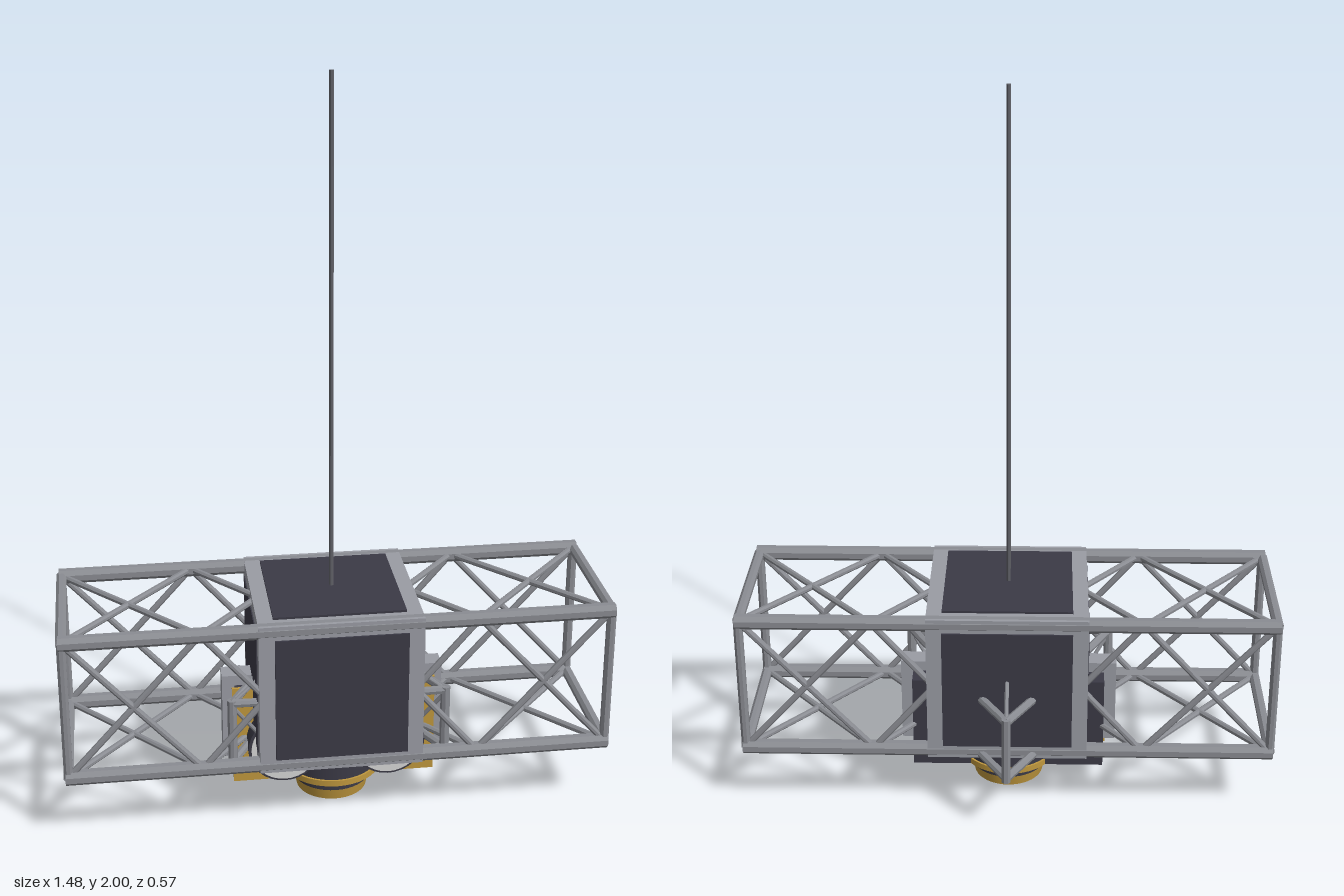
import * as THREE from 'three';

const mat = (name, color) => Object.assign(new THREE.MeshStandardMaterial({ color }), { name });

export function createModel() {
  const grey = mat('frameGrey', 0x9a9ca4);
  const steel = mat('tubeGrey', 0x8a8c92);
  const dark = mat('darkPanel', 0x3b3a46);
  const mast = mat('antennaGrey', 0x606167);
  const gold = mat('goldFoil', 0xbf973d);
  const white = mat('dishWhite', 0xd6d6d6);

  const model = new THREE.Group();
  model.name = 'satellite';
  const CZ = 0.06; // depth of the main axis

  const add = (parent, name, geo, material, x = 0, y = 0, z = 0) => {
    const m = new THREE.Mesh(geo, material);
    m.name = name;
    m.position.set(x, y, z);
    parent.add(m);
    return m;
  };
  const box = (parent, name, w, h, d, material, x, y, z) =>
    add(parent, name, new THREE.BoxGeometry(w, h, d), material, x, y, z);

  // Faceted tube between two points
  const bar = (parent, name, a, b, r, material = steel, sides = 8) => {
    const p = new THREE.Vector3(...a), q = new THREE.Vector3(...b);
    const dir = q.clone().sub(p);
    let geo = new THREE.CylinderGeometry(r, r, dir.length(), sides);
    geo.rotateY(Math.PI / sides);
    geo = geo.toNonIndexed();
    geo.computeVertexNormals();
    const m = add(parent, name, geo, material);
    m.position.copy(p).add(q).multiplyScalar(0.5);
    m.quaternion.setFromUnitVectors(new THREE.Vector3(0, 1, 0), dir.normalize());
    return m;
  };

  // Core: grey edge frame with raised dark panels on every face
  const core = new THREE.Group();
  core.name = 'core';
  model.add(core);
  const CY = 0.394;
  box(core, 'coreFrame', 0.44, 0.434, 0.44, grey, 0, CY, CZ);
  const P = 0.355;
  for (const s of [-1, 1]) {
    box(core, 'facePanel', P, P, 0.008, dark, 0, CY, CZ + s * 0.221);
    box(core, 'capPanel', P, 0.008, P, dark, 0, CY + s * 0.219, CZ);
    box(core, 'sidePanel', 0.008, P, P, dark, s * 0.219, CY, CZ);
  }

  // Truss: four long tubes, end frames and crossed braces on four sides
  const truss = new THREE.Group();
  truss.name = 'truss';
  model.add(truss);
  const Y = [0.195, 0.592], Z = [-0.142, 0.262];
  for (const y of Y) for (const z of Z)
    bar(truss, 'longeron', [-0.735, y, z], [0.735, y, z], 0.021);
  for (const s of [-1, 1]) {
    const X = s * 0.727, XN = s * 0.37, XC = s * 0.2;
    for (const z of Z) bar(truss, 'endPost', [X, Y[0], z], [X, Y[1], z], 0.013);
    for (const y of Y) bar(truss, 'endRail', [X, y, Z[0]], [X, y, Z[1]], 0.015);
    for (const k of [0, 1]) {
      for (const z of Z) {
        bar(truss, 'brace', [X, Y[k], z], [XN, Y[1 - k], z], 0.009);
        bar(truss, 'innerBrace', [XN, Y[k], z], [XC, CY, z], 0.009);
      }
      for (const y of Y) {
        bar(truss, 'deckBrace', [X, y, Z[k]], [XN, y, Z[1 - k]], 0.009);
        bar(truss, 'innerDeckBrace', [XN, y, Z[k]], [XC, y, CZ], 0.009);
      }
    }
  }

  // Three bracket arms spaced evenly around the axis
  for (let i = 0; i < 3; i++) {
    const arm = new THREE.Group();
    arm.name = 'bracketArm';
    arm.position.z = CZ;
    arm.rotation.y = (i * Math.PI * 2) / 3;
    model.add(arm);
    const tip = -0.333, foot = -0.215;
    for (const y of [0.187, 0.365])
      for (const s of [-1, 1]) bar(arm, 'strut', [s * 0.072, y, foot], [0, y, tip], 0.012);
    bar(arm, 'post', [0, 0.177, tip], [0, 0.375, tip], 0.013);
    bar(arm, 'upperStay', [0, 0.425, foot], [0, 0.365, tip], 0.006);
    bar(arm, 'crossStay', [0, 0.2, foot], [0, 0.355, tip], 0.006);
  }

  // Instrument box with foil front plate and side units
  box(model, 'instrumentBox', 0.54, 0.275, 0.135, dark, 0, 0.203, 0.043);
  box(model, 'foilPlate', 0.56, 0.29, 0.009, gold, 0, 0.203, 0.115);
  for (const s of [-1, 1]) {
    box(model, 'sideUnit', 0.085, 0.25, 0.055, grey, s * 0.2625, 0.245, 0.058);
    // Round drums with pale faces
    const drum = new THREE.CylinderGeometry(0.1, 0.1, 0.06, 32).rotateX(Math.PI / 2);
    add(model, 'dishRim', drum, dark, s * 0.143, 0.187, 0.149);
    const face = new THREE.CylinderGeometry(0.092, 0.092, 0.006, 32).rotateX(Math.PI / 2);
    add(model, 'dishFace', face, white, s * 0.143, 0.187, 0.181);
  }

  // Stepped nozzle below the core: [name, top radius, bottom radius, y low, y high, material]
  const steps = [
    ['nozzleBody', 0.13, 0.13, 0.083, 0.2, dark],
    ['upperRing', 0.136, 0.136, 0.066, 0.083, gold],
    ['nozzleNeck', 0.106, 0.106, 0.035, 0.066, dark],
    ['lowerRing', 0.104, 0.098, 0.003, 0.035, gold],
    ['endDisc', 0.09, 0.09, 0, 0.006, steel],
  ];
  for (const [name, rt, rb, y0, y1, m] of steps)
    add(model, name, new THREE.CylinderGeometry(rt, rb, y1 - y0, 40), m, 0, (y0 + y1) / 2, CZ);

  // Long mast antenna
  bar(model, 'antenna', [0, 0.6, CZ], [0, 2, CZ], 0.006, mast);

  return model;
}
